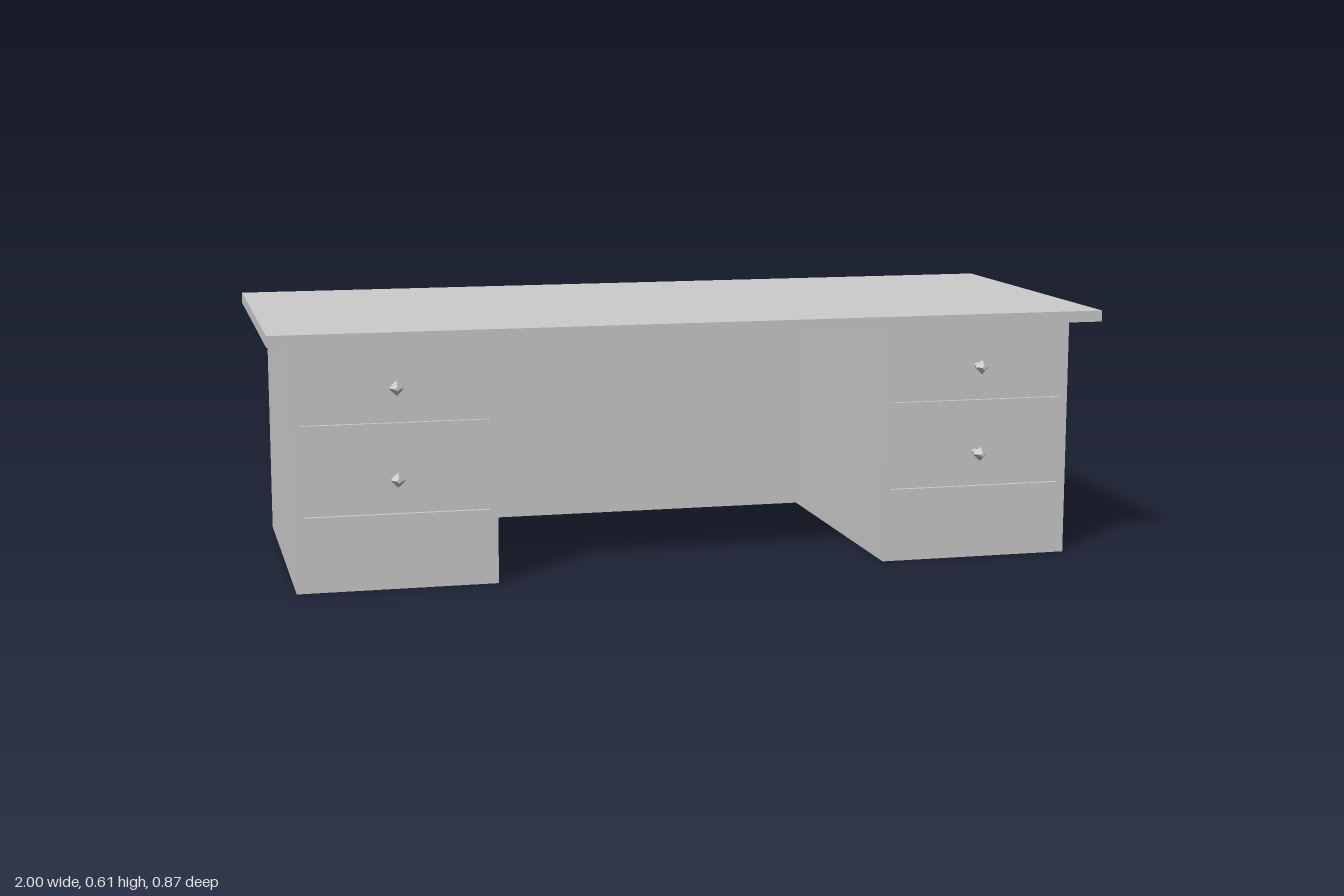
import * as THREE from 'three';

const material = new THREE.MeshStandardMaterial({ color: 0xcccccc, flatShading: true });

function addMesh(parent, name, geometry, x = 0, y = 0, z = 0) {
  const mesh = new THREE.Mesh(geometry, material);
  mesh.name = name;
  mesh.position.set(x, y, z);
  parent.add(mesh);
  return mesh;
}

const HEIGHT = 0.581, DEPTH = 0.744, FRONT = DEPTH / 2;
const WIDTH = 0.47, RECESS = 0.01;
const PANEL = 0.02;
const DRAWERS = [0.177, 0.39]; // bottom heights
const DRAWER_HEIGHT = 0.17, MARGIN = 0.018;

// Front face frame with one rectangular opening per drawer
function drawerFrame() {
  const w = WIDTH / 2, h = w - MARGIN;
  const rect = (path, x, y0, y1) =>
    path.moveTo(-x, y0).lineTo(x, y0).lineTo(x, y1).lineTo(-x, y1).closePath();
  const shape = new THREE.Shape();
  rect(shape, w, 0, HEIGHT);
  for (const y of DRAWERS) {
    const hole = new THREE.Path();
    rect(hole, h, y, y + DRAWER_HEIGHT);
    shape.holes.push(hole);
  }
  return new THREE.ExtrudeGeometry(shape, { depth: RECESS, bevelEnabled: false });
}

// Four-sided knob: thin stem and a faceted head, pointing to +z
function knobGeometry() {
  const profile = [[0.007, 0], [0.007, 0.021], [0.018, 0.038], [0.006, 0.055], [0, 0.055]];
  const geometry = new THREE.LatheGeometry(profile.map(([r, y]) => new THREE.Vector2(r, y)), 4);
  return geometry.rotateX(Math.PI / 2);
}

function createPedestal(name, x) {
  const pedestal = new THREE.Group();
  pedestal.name = name;
  pedestal.position.x = x;
  const bodyDepth = DEPTH - RECESS;
  addMesh(pedestal, 'pedestalBody', new THREE.BoxGeometry(WIDTH, HEIGHT, bodyDepth), 0, HEIGHT / 2, -RECESS / 2);
  addMesh(pedestal, 'drawerFrame', drawerFrame(), 0, 0, FRONT - RECESS);
  for (const y of DRAWERS) {
    addMesh(pedestal, 'drawerKnob', knobGeometry(), 0, y + DRAWER_HEIGHT / 2, FRONT - RECESS);
  }
  return pedestal;
}

export function createModel() {
  const desk = new THREE.Group();
  desk.name = 'desk';

  addMesh(desk, 'deskTop', new THREE.BoxGeometry(2, 0.027, 0.87), 0, HEIGHT + 0.0135, 0);
  desk.add(createPedestal('leftPedestal', 0.708), createPedestal('rightPedestal', -0.708));

  // Full-height back panel closing the knee space
  addMesh(desk, 'backPanel', new THREE.BoxGeometry(0.946, HEIGHT, PANEL), 0, HEIGHT / 2, -FRONT + PANEL / 2);
  return desk;
}
